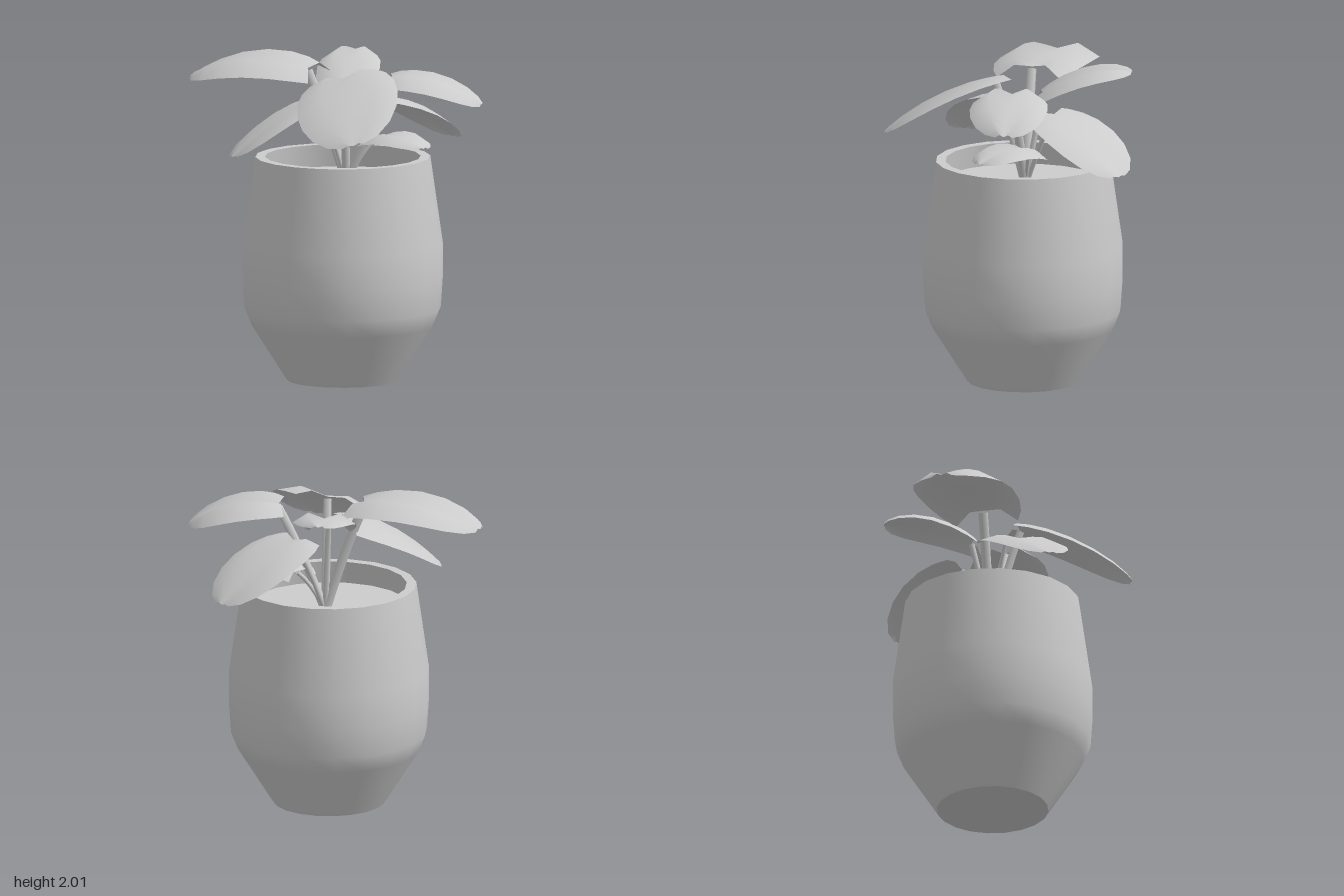
import * as THREE from 'three';

const material = new THREE.MeshStandardMaterial({ color: 0xcccccc, side: THREE.DoubleSide });
const AXIS = 0.066; // x and z of the pot's axis

// Leaf: rows of [position along at the edge, half-width, position along at the midrib]
const ROWS = [
  [-0.1, 0.66, 0.0], [0.03, 0.84, 0.08], [0.2, 0.96, 0.22], [0.42, 1, 0.42],
  [0.62, 0.94, 0.64], [0.8, 0.77, 0.83], [0.93, 0.5, 0.95], [0.99, 0.22, 1],
];
const ACROSS = [-1, -0.5, 0, 0.5, 1];

// The midrib is a valley; each half swells by bump and falls by drop at its edge
function leafGeometry({ base, tip, half, arch, roll = 0, bump, drop }) {
  const dx = tip[0] - base[0], dz = tip[2] - base[2];
  const len = Math.hypot(dx, dz);
  const lift = [-drop, bump, 0, bump, -drop];
  const positions = [], index = [];
  ROWS.forEach(([edge, width, mid], r) => {
    ACROSS.forEach((v, c) => {
      const t = mid + (edge - mid) * Math.abs(v);
      const side = v * width;
      positions.push(
        base[0] + dx * t - (dz / len) * side * half,
        base[1] + (tip[1] - base[1]) * t + arch * 4 * t * (1 - t) + roll * side + lift[c] * width,
        base[2] + dz * t + (dx / len) * side * half,
      );
      if (r && c) {
        const d = r * 5 + c, a = d - 6, b = d - 5, e = d - 1;
        index.push(a, e, b, b, e, d);
      }
    });
  });
  const geometry = new THREE.BufferGeometry();
  geometry.setAttribute('position', new THREE.Float32BufferAttribute(positions, 3));
  geometry.setIndex(index);
  geometry.computeVertexNormals();
  return geometry;
}

// Stem: rises from the soil and bends out under the leaf base
function stemGeometry([x, y, z], radius) {
  const start = new THREE.Vector3(0.07, 1.22, 0.04);
  const finish = new THREE.Vector3(x, y - radius / 2, z);
  const bend = start.clone().lerp(finish, 0.5);
  bend.y += 0.06;
  return new THREE.TubeGeometry(new THREE.QuadraticBezierCurve3(start, bend, finish), 5, radius, 6);
}

const LEAVES = [
  { name: 'frontRight', base: [0.2, 1.9, 0.17], tip: [0.77, 1.585, 0.565], half: 0.31, arch: 0.045, roll: -0.08, bump: 0.03, drop: 0.03, stem: 0.026 },
  { name: 'frontLeft', base: [-0.12, 1.93, 0.19], tip: [-0.785, 1.84, 0.565], half: 0.305, arch: 0.07, roll: 0.015, bump: 0.04, drop: 0.05, stem: 0.03 },
  { name: 'backRight', base: [0.33, 1.88, -0.12], tip: [0.74, 1.735, -0.49], half: 0.24, arch: 0.05, bump: 0.045, drop: 0.04, stem: 0.028 },
  { name: 'backLeft', base: [-0.03, 1.81, -0.02], tip: [-0.4, 1.955, -0.42], half: 0.195, arch: 0.05, bump: 0.035, drop: 0.03, stem: 0.018 },
  { name: 'back', base: [0.07, 1.73, -0.22], tip: [0.07, 1.43, -0.805], half: 0.27, arch: 0.045, bump: 0.02, drop: 0.025, stem: 0.015 },
  { name: 'front', base: [0.03, 1.76, 0.23], tip: [-0.11, 1.435, 0.8], half: 0.25, arch: 0.045, roll: -0.04, bump: 0.02, drop: 0.025, stem: 0.013 },
  { name: 'lowRight', base: [0.17, 1.48, -0.1], tip: [0.61, 1.48, -0.13], half: 0.18, arch: 0.045, bump: 0.03, drop: 0.025, stem: 0.013 },
];

export function createModel() {
  const model = new THREE.Group();
  const add = (parent, name, geometry) => {
    const mesh = new THREE.Mesh(geometry, material);
    mesh.name = name;
    parent.add(mesh);
  };

  // Pot: separate lathes keep the rim and foot edges sharp
  const pot = new THREE.Group();
  pot.name = 'pot';
  pot.position.set(AXIS, 0, AXIS);
  const lathe = (name, profile) =>
    add(pot, name, new THREE.LatheGeometry(profile.map(([r, y]) => new THREE.Vector2(r, y)), 20));
  lathe('potBase', [[0, 0], [0.345, 0]]);
  lathe('potWall', [[0.345, 0], [0.56, 0.34], [0.605, 0.45], [0.617, 0.63], [0.617, 0.85], [0.54, 1.39]]);
  lathe('potRim', [[0.54, 1.39], [0.48, 1.39]]);
  lathe('potInnerWall', [[0.48, 1.39], [0.5, 1.25]]);
  lathe('soil', [[0.5, 1.25], [0, 1.25]]);
  model.add(pot);

  // Plant: each leaf on its own stem
  for (const leaf of LEAVES) {
    const shoot = new THREE.Group();
    shoot.name = leaf.name + 'Shoot';
    add(shoot, leaf.name + 'Leaf', leafGeometry(leaf));
    add(shoot, leaf.name + 'Stem', stemGeometry(leaf.base, leaf.stem));
    model.add(shoot);
  }
  return model;
}
